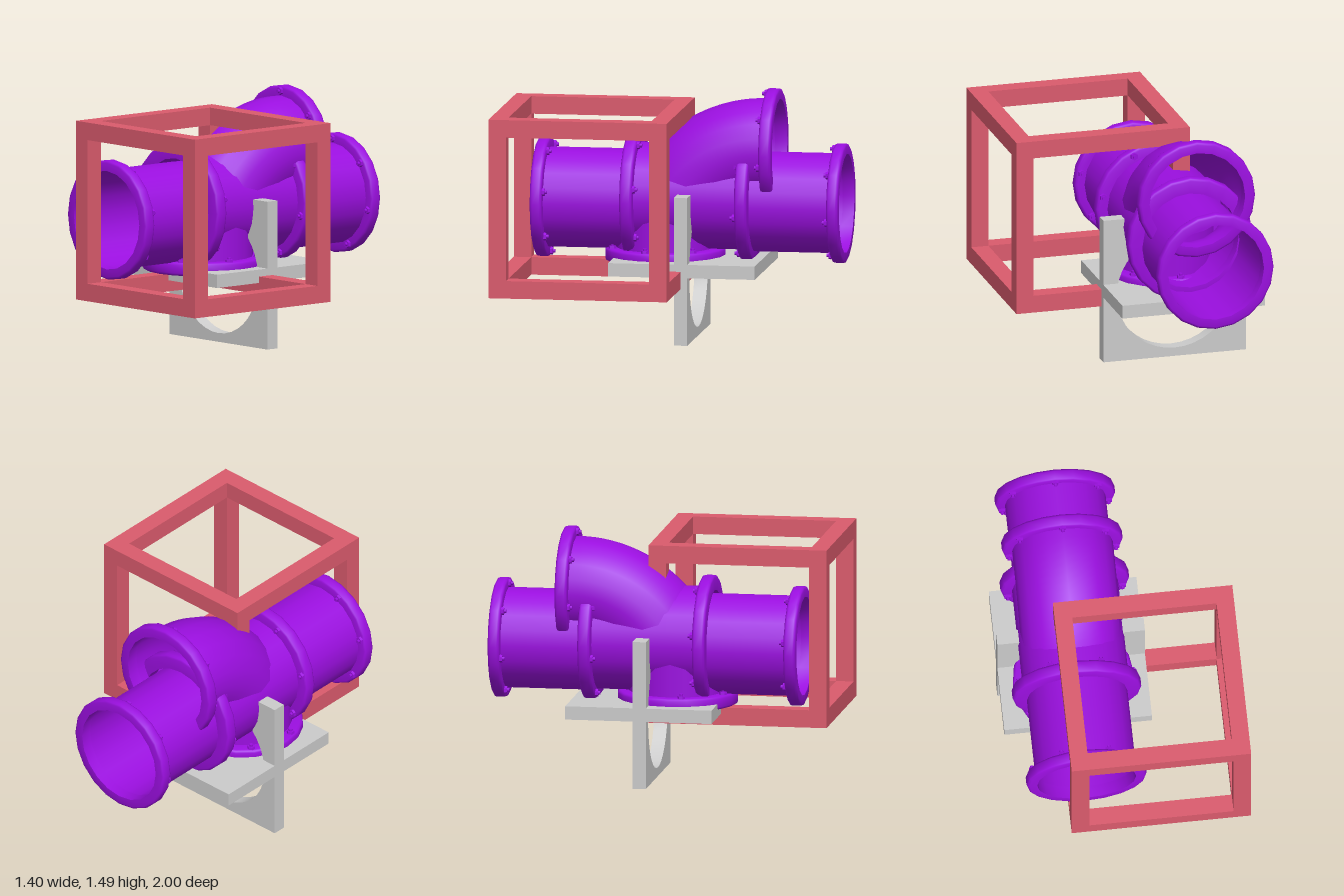
import * as THREE from 'three';
import { toCreasedNormals } from 'three/addons/utils/BufferGeometryUtils.js';

const SIDES = 20;
const CX = -0.265; // shared vertical plane of the pipework
const purple = new THREE.MeshStandardMaterial({ color: 0x9b0fe0, side: THREE.DoubleSide });
const red = new THREE.MeshStandardMaterial({ color: 0xdb5b6d });
const grey = new THREE.MeshStandardMaterial({ color: 0xcccccc });

function mesh(name, geometry, material, x = 0, y = 0, z = 0) {
  const m = new THREE.Mesh(geometry, material);
  m.name = name;
  m.position.set(x, y, z);
  return m;
}

// Open tube along z between two depths
function pipe(name, r, y, z0, z1) {
  const g = new THREE.CylinderGeometry(r, r, Math.abs(z1 - z0), SIDES, 1, true).rotateX(Math.PI / 2);
  return mesh(name, g, purple, CX, y, (z0 + z1) / 2);
}

// Bevelled ring with seven bolts on its +z side
function flange(name, r, inner, depth, y, z, flipped = false) {
  const group = new THREE.Group();
  group.name = name;
  const h = depth / 2, b = 0.016;
  const profile = [
    [inner, -h], [r - b, -h], [r - b * 0.3, -h + b * 0.3], [r, -h + b],
    [r, h - b], [r - b * 0.3, h - b * 0.3], [r - b, h], [inner, h], [inner, -h],
  ].map(([px, py]) => new THREE.Vector2(px, py));
  const ring = new THREE.LatheGeometry(profile, SIDES).rotateX(Math.PI / 2);
  group.add(mesh('ring', toCreasedNormals(ring, 0.9), purple));

  const head = toCreasedNormals(new THREE.CylinderGeometry(0.022, 0.024, 0.016, 6).rotateX(Math.PI / 2), 0.5);
  const stud = new THREE.CylinderGeometry(0.011, 0.011, 0.03, 8).rotateX(Math.PI / 2);
  for (let i = 0; i < 7; i++) {
    const a = (flipped ? -1 : 1) * Math.PI / 2 + i * Math.PI * 2 / 7;
    const x = Math.cos(a) * (r - 0.033), yy = Math.sin(a) * (r - 0.033);
    group.add(mesh('boltHead', head, purple, x, yy, h + 0.007));
    group.add(mesh('boltStud', stud, purple, x, yy, h + 0.013));
  }
  group.position.set(CX, y, z);
  return group;
}

function buildPipework() {
  const g = new THREE.Group();
  g.name = 'pipework';
  const axisY = 0.81, teeY = 0.835;

  // Straight runs and the slightly wider junction body
  g.add(pipe('frontPipe', 0.3, axisY, 0.84, 0.25));
  g.add(pipe('rearPipe', 0.3, axisY, -0.4, -0.99));
  g.add(pipe('junctionBody', 0.316, teeY, 0.28, -0.42));
  g.add(mesh('innerWall', new THREE.CircleGeometry(0.315, SIDES), purple, CX, teeY, -0.05));

  // Flanges along the main run
  const front = flange('frontFlange', 0.358, 0.295, 0.072, axisY, 0.815, true);
  const jointFront = flange('frontJointFlange', 0.384, 0.295, 0.076, teeY, 0.272, true);
  front.rotation.y = jointFront.rotation.y = Math.PI;
  g.add(front, jointFront);
  g.add(flange('rearJointFlange', 0.384, 0.295, 0.076, teeY, -0.417));
  g.add(flange('rearFlange', 0.358, 0.295, 0.07, axisY, -0.963));

  // Curved upper branch sweeping up and back
  const bend = 0.6, endZ = -0.55, points = [];
  for (let i = 0; i <= 8; i++) {
    const a = (i / 8) * 0.96;
    points.push(new THREE.Vector3(0, 0.53 + bend * Math.cos(a), -0.52 + bend * Math.sin(a)));
  }
  points.unshift(new THREE.Vector3(0, 1.13, endZ - 0.03));
  const sweep = new THREE.TubeGeometry(new THREE.CatmullRomCurve3(points), 20, 0.3, SIDES);
  g.add(mesh('upperBranch', sweep, purple, CX));
  g.add(flange('upperBranchFlange', 0.36, 0.295, 0.075, 1.13, -0.558));

  // Short lower branch and its horizontal flange
  const stub = new THREE.CylinderGeometry(0.295, 0.295, 0.3, SIDES, 1, true);
  g.add(mesh('lowerBranch', stub, purple, CX, 0.63, 0.09));
  const base = flange('lowerFlange', 0.36, 0.285, 0.08, 0.49, 0.09);
  base.rotation.x = -Math.PI / 2;
  g.add(base);
  return g;
}

function buildStand() {
  const g = new THREE.Group();
  g.name = 'stand';
  g.add(mesh('plate', new THREE.BoxGeometry(0.88, 0.08, 0.88), grey, CX, 0.445, -0.075));

  // Upright cradle: round opening below, saddle around the pipe above
  const s = new THREE.Shape();
  const w = 0.44, top = 0.885, saddleY = 0.835, saddleR = 0.313, holeY = 0.41, holeR = 0.358;
  s.moveTo(-w, 0);
  s.lineTo(w, 0);
  s.lineTo(w, top);
  s.lineTo(0.309, top);
  s.absarc(0, saddleY, saddleR, 0, -0.6, true);
  s.absarc(0, holeY, holeR, 0.76, -Math.PI - 0.76, true);
  s.absarc(0, saddleY, saddleR, Math.PI + 0.6, Math.PI, true);
  s.lineTo(-0.309, top);
  s.lineTo(-w, top);
  s.closePath();
  const cradle = new THREE.ExtrudeGeometry(s, { depth: 0.08, bevelEnabled: false, curveSegments: 14 });
  g.add(mesh('cradle', toCreasedNormals(cradle, 0.6), grey, CX, 0, -0.11));
  return g;
}

// Open cube made of twelve square bars
function buildFrame() {
  const g = new THREE.Group();
  g.name = 'cubeFrame';
  const size = 1.07, t = 0.105, inner = size - 2 * t, o = (size - t) / 2;
  for (const a of [-o, o]) {
    for (const b of [-o, o]) {
      g.add(mesh('crossBar', new THREE.BoxGeometry(size, t, t), red, 0, a, b));
      g.add(mesh('post', new THREE.BoxGeometry(t, inner, t), red, a, 0, b));
      g.add(mesh('sideBar', new THREE.BoxGeometry(t, t, inner), red, a, b, 0));
    }
  }
  g.position.set(0.165, 0.873, 0.465);
  return g;
}

export function createModel() {
  const model = new THREE.Group();
  model.name = 'pipeJunctionOnStand';
  model.add(buildPipework(), buildStand(), buildFrame());
  return model;
}
